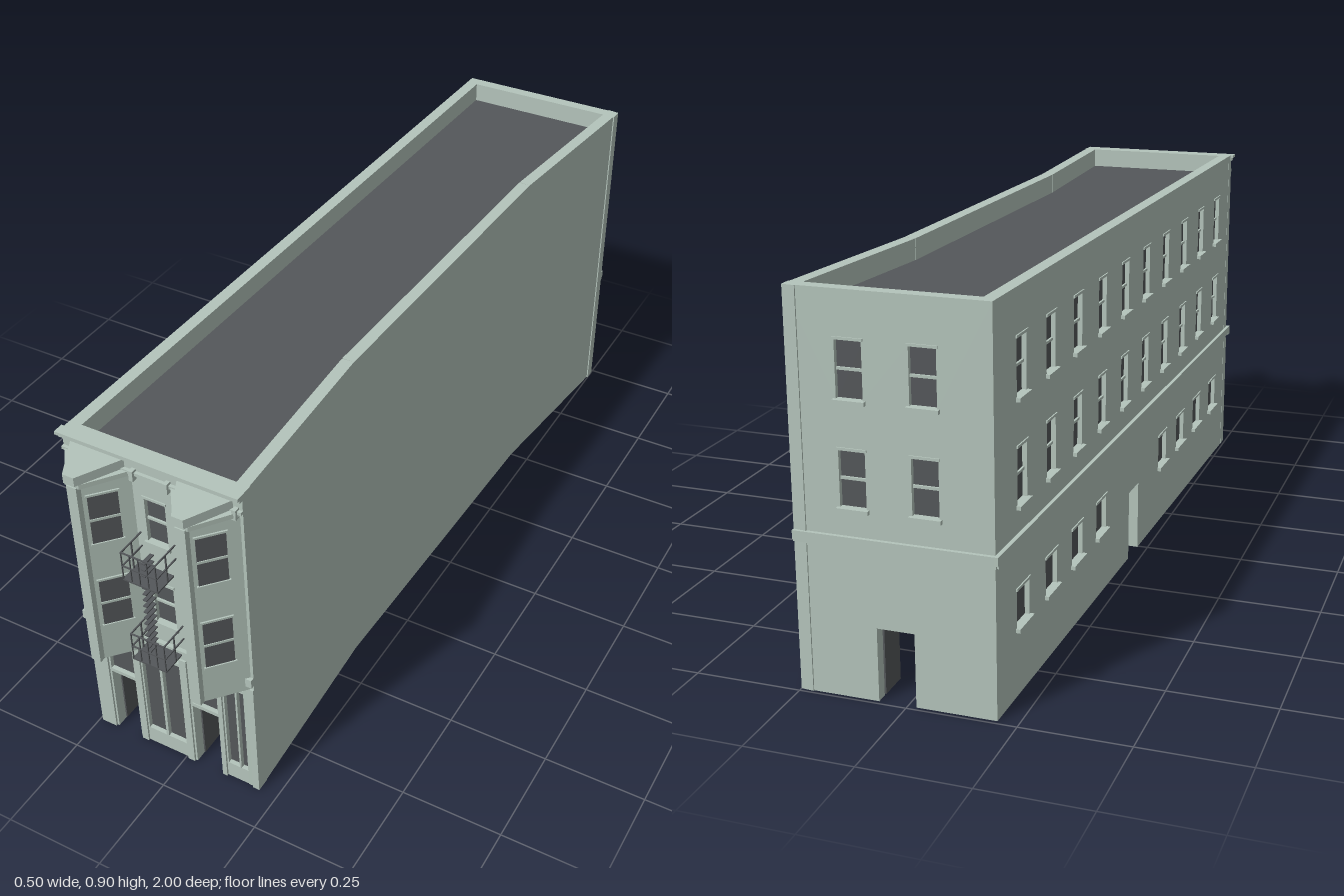
import * as THREE from 'three';

const stone = new THREE.MeshStandardMaterial({ color: 0xb4c4bb });
stone.name = 'pale green stone';
const dark = new THREE.MeshStandardMaterial({ color: 0x54575a, side: THREE.DoubleSide });
dark.name = 'dark grey';

const THICK = 0.03, HEIGHT = 0.9, ROOF_Y = 0.85;

function add(parent, name, geometry, material) {
  const mesh = new THREE.Mesh(geometry, material);
  mesh.name = name;
  parent.add(mesh);
  return mesh;
}

// Box given by its limits on each axis
function box(parent, name, material, x0, x1, y0, y1, z0, z1) {
  const m = add(parent, name, new THREE.BoxGeometry(x1 - x0, y1 - y0, z1 - z0), material);
  m.position.set((x0 + x1) / 2, (y0 + y1) / 2, (z0 + z1) / 2);
  return m;
}

// Group whose x axis runs from a to b on the ground and whose z axis faces outwards
function facing(parent, name, a, b) {
  const g = new THREE.Group();
  g.name = name;
  g.position.set(a[0], 0, a[1]);
  g.rotation.y = Math.atan2(-(b[1] - a[1]), b[0] - a[0]);
  parent.add(g);
  return g;
}

const length = (a, b) => Math.hypot(b[0] - a[0], b[1] - a[1]);

// Wall with rectangular holes [x0, x1, y0, y1] and door openings [x0, x1, height]
function wall(parent, name, a, b, holes = [], doors = []) {
  const g = facing(parent, name, a, b), L = length(a, b);
  const s = new THREE.Shape();
  s.moveTo(0, 0);
  for (const [x0, x1, h] of doors) {
    s.lineTo(x0, 0); s.lineTo(x0, h); s.lineTo(x1, h); s.lineTo(x1, 0);
  }
  s.lineTo(L, 0); s.lineTo(L, HEIGHT); s.lineTo(0, HEIGHT); s.closePath();
  for (const [x0, x1, y0, y1] of holes) {
    const p = new THREE.Path();
    p.moveTo(x0, y0); p.lineTo(x0, y1); p.lineTo(x1, y1); p.lineTo(x1, y0); p.closePath();
    s.holes.push(p);
  }
  const geo = new THREE.ExtrudeGeometry(s, { depth: THICK, bevelEnabled: false });
  geo.translate(0, 0, -THICK);
  add(g, name + 'Surface', geo, stone);
  // Glass set back in every hole
  for (const [x0, x1, y0, y1] of holes) box(g, 'glass', dark, x0, x1, y0, y1, -0.016, -0.011);
  // Doors standing open, swung inwards
  for (const [x0, x1, h] of doors)
    box(g, 'openDoor', dark, x0, x0 + 0.004, 0.004, h - 0.004, -THICK - (x1 - x0) * 0.85, -THICK + 0.002);
  return g;
}

// Sash rail, sill and head around a window opening
function windowTrim(g, [x0, x1, y0, y1], rail = true, depth = 0.01) {
  const mid = (y0 + y1) / 2;
  if (rail) box(g, 'sashRail', stone, x0, x1, mid - 0.003, mid + 0.003, -0.013, -0.006);
  box(g, 'windowSill', stone, x0 - 0.006, x1 + 0.006, y0 - 0.009, y0, -0.004, depth);
  box(g, 'windowHead', stone, x0 - 0.004, x1 + 0.004, y1, y1 + 0.006, -0.004, 0.003);
}

function beltCourse(g, x0, x1) {
  box(g, 'beltCourse', stone, x0, x1, 0.352, 0.372, -0.005, 0.009);
  box(g, 'beltCourseLip', stone, x0, x1, 0.346, 0.354, -0.005, 0.005);
}

// Upright prism with a tapered plan, standing against the front wall
function bayPrism(parent, name, half, nose, depth, y0, y1) {
  const s = new THREE.Shape([[-half, 0.01], [-half, 0], [-nose, -depth], [nose, -depth], [half, 0], [half, 0.01]]
    .map(p => new THREE.Vector2(p[0], p[1])));
  const geo = new THREE.ExtrudeGeometry(s, { depth: y1 - y0, bevelEnabled: false });
  geo.rotateX(-Math.PI / 2).translate(0, y0, 0);
  return add(parent, name, geo, stone);
}

function bayWindow(parent, x) {
  const g = new THREE.Group();
  g.name = 'bayWindow';
  g.position.set(x, 0, 0.9);
  parent.add(g);
  const half = 0.083, nose = 0.0125, d = 0.08;
  bayPrism(g, 'bayBody', half, nose, d, 0.335, 0.845);
  bayPrism(g, 'bayCornice', half + 0.003, 0.018, 0.092, 0.843, 0.855);
  bayPrism(g, 'bayCap', 0.068, 0.014, 0.1, 0.855, 0.878);
  box(g, 'bayPost', stone, -nose, nose, 0.335, 0.845, d - 0.01, 0.095);
  const sides = [[[-half, 0], [-nose, d]], [[nose, d], [half, 0]]];
  sides.forEach(([a, b], i) => {
    const f = facing(g, 'bayFacet', a, b), L = length(a, b);
    const x0 = i ? L - 0.097 : 0.032, x1 = i ? L - 0.032 : 0.097;
    for (const y of [0.44, 0.68]) {
      const top = y + 0.13, mid = y + 0.065;
      box(f, 'bayGlass', dark, x0, x1, y, top, -0.002, 0.002);
      box(f, 'baySashRail', stone, x0, x1, mid - 0.003, mid + 0.003, 0, 0.004);
      box(f, 'bayWindowSill', stone, x0 - 0.004, x1 + 0.004, y - 0.006, y, 0, 0.005);
      box(f, 'bayWindowHead', stone, x0 - 0.004, x1 + 0.004, top, top + 0.005, 0, 0.004);
    }
  });
}

// Railed iron landing with its floor at height y
function landing(parent, y) {
  const g = new THREE.Group();
  g.name = 'fireEscapeLanding';
  parent.add(g);
  const x0 = -0.064, x1 = 0.026, z0 = 0.9, z1 = 0.975, t = 0.003;
  box(g, 'landingFloor', dark, x0, x1, y - 0.004, y, z0 + 0.015, z1);
  for (const h of [0.038, 0.076]) {
    box(g, 'frontRail', dark, x0, x1, y + h - t, y + h, z1 - t, z1);
    for (const x of [x0, x1 - t]) box(g, 'sideRail', dark, x, x + t, y + h - t, y + h, z0, z1);
  }
  for (let i = 0; i < 5; i++) {
    const x = x0 + (x1 - x0 - t) * i / 4;
    box(g, 'railPost', dark, x, x + 0.002, y, y + 0.076, z1 - t, z1);
  }
  for (const x of [x0, x1 - t]) box(g, 'sidePost', dark, x, x + t, y, y + 0.076, 0.935, 0.938);
}

export function createModel() {
  const model = new THREE.Group();
  model.name = 'cornerBuilding';
  const FL = [-0.243, 0.9], FR = [0.204, 0.9], R1 = [0.18, 0.4], R2 = [0.2, -0.5],
    BR = [0.25, -0.99], BL = [-0.203, -0.99];

  // Front wall: shopfront glass, middle windows and two doorways
  const shift = FL[0];
  const shop = [
    [-0.197, -0.13, 0.2, 0.304], [-0.197, -0.13, 0.312, 0.334],
    [-0.103, -0.055, 0.045, 0.304], [-0.103, -0.055, 0.312, 0.337],
    [-0.048, 0.002, 0.045, 0.304], [-0.048, 0.002, 0.312, 0.337],
    [0.03, 0.1, 0.2, 0.304], [0.03, 0.1, 0.312, 0.334],
    [0.12, 0.15, 0.045, 0.304], [0.12, 0.15, 0.312, 0.334],
    [0.155, 0.183, 0.045, 0.304], [0.155, 0.183, 0.312, 0.334],
  ];
  const middle = [[-0.045, 0.008, 0.43, 0.55], [-0.045, 0.008, 0.67, 0.79]];
  const local = ([x0, x1, ...r]) => [x0 - shift, x1 - shift, ...r];
  const front = wall(model, 'frontWall', FL, FR, [...shop, ...middle].map(local),
    [[-0.197, -0.13, 0.19], [0.03, 0.1, 0.19]].map(local));
  middle.forEach(w => windowTrim(front, local(w), true, 0.006));

  // Plain side wall, bent twice
  wall(model, 'leftWall', FR, R1);
  wall(model, 'leftWall', R1, R2);
  wall(model, 'leftWall', R2, BR);

  // Back wall
  const backWindows = [0.141, 0.303].flatMap(c =>
    [[c - 0.03, c + 0.03, 0.435, 0.56], [c - 0.03, c + 0.03, 0.67, 0.795]]);
  const back = wall(model, 'backWall', BR, BL, backWindows, [[0.184, 0.27, 0.17]]);
  backWindows.forEach(w => windowTrim(back, w));
  beltCourse(back, 0, length(BR, BL) + 0.009);

  // Long windowed side wall
  const upper = [], lower = [];
  for (let i = 0; i < 10; i++) {
    const c = 0.153 + 0.1752 * i;
    upper.push([c - 0.028, c + 0.028, 0.435, 0.56], [c - 0.028, c + 0.028, 0.67, 0.795]);
    if (i !== 4 && i !== 5) lower.push([c - 0.037, c + 0.037, 0.16, 0.245]);
  }
  const side = wall(model, 'rightWall', BL, FL, [...upper, ...lower], [[0.905, 0.985, 0.18]]);
  upper.forEach(w => windowTrim(side, w));
  lower.forEach(w => windowTrim(side, w, false));
  beltCourse(side, -0.009, length(BL, FL) + 0.009);

  // Flat roof sunk behind the parapet
  const roof = new THREE.Shape([FL, FR, R1, R2, BR, BL].map(p => new THREE.Vector2(p[0] * 0.93, -p[1] * 0.98)));
  add(model, 'roof', new THREE.ShapeGeometry(roof).rotateX(-Math.PI / 2), dark).position.y = ROOF_Y;

  // Front trim: cornice, frieze, brackets, belt blocks and pilasters
  box(model, 'corniceTop', stone, -0.25, 0.204, 0.892, 0.9, 0.89, 0.916);
  box(model, 'corniceBed', stone, -0.246, 0.204, 0.884, 0.892, 0.89, 0.91);
  box(model, 'frieze', stone, -0.243, 0.204, 0.85, 0.858, 0.89, 0.908);
  for (const x of [-0.062, 0.024, 0.19]) box(model, 'bracket', stone, x - 0.005, x + 0.005, 0.838, 0.864, 0.89, 0.914);
  for (const [x0, x1] of [[-0.252, -0.228], [-0.08, 0.043], [0.185, 0.204]])
    box(model, 'beltBlock', stone, x0, x1, 0.348, 0.372, 0.89, 0.91);
  for (const [x0, x1] of [[-0.243, -0.202], [-0.125, -0.107], [0.006, 0.025], [0.104, 0.116], [0.187, 0.204]])
    box(model, 'pilaster', stone, x0, x1, 0, 0.335, 0.89, 0.905);

  bayWindow(model, -0.154);
  bayWindow(model, 0.114);

  // Fire escape: two landings joined by a steep flight of treads
  landing(model, 0.371);
  landing(model, 0.612);
  for (let i = 0; i < 16; i++) {
    const t = i / 15, x = -0.037 + 0.014 * t, y = 0.38 + 0.275 * t;
    box(model, 'fireEscapeTread', dark, x - 0.005, x + 0.005, y - 0.0015, y + 0.0015, 0.92, 0.955);
  }
  return model;
}
